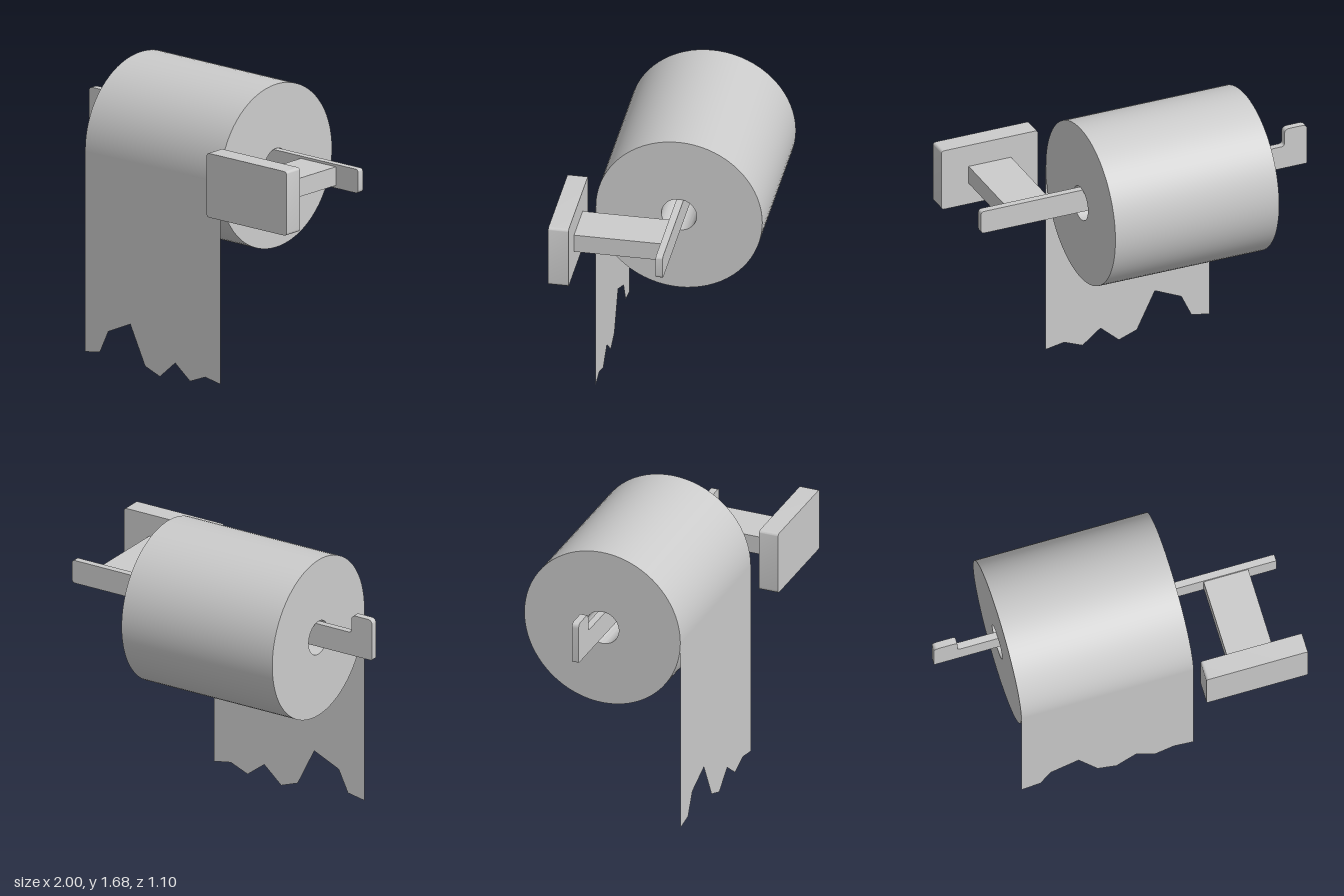
import * as THREE from 'three';
import { toCreasedNormals } from 'three/addons/utils/BufferGeometryUtils.js';

const material = new THREE.MeshStandardMaterial({ color: 0xcccccc });
const paper = new THREE.MeshStandardMaterial({ color: 0xcccccc, side: THREE.DoubleSide });

// Outline with every corner rounded by its radius: [x, y, radius]
function roundedShape(corners) {
  const shape = new THREE.Shape();
  const n = corners.length;
  const at = (i) => new THREE.Vector2(corners[(i + n) % n][0], corners[(i + n) % n][1]);
  corners.forEach(([x, y, r], i) => {
    const p = at(i);
    const a = at(i - 1).sub(p).setLength(r).add(p);
    const b = at(i + 1).sub(p).setLength(r).add(p);
    if (i === 0) shape.moveTo(a.x, a.y);
    else shape.lineTo(a.x, a.y);
    shape.quadraticCurveTo(x, y, b.x, b.y);
  });
  shape.closePath();
  return shape;
}

// Slab extruded from z0 to z1
function slab(name, corners, z0, z1) {
  const geometry = new THREE.ExtrudeGeometry(roundedShape(corners), {
    depth: z1 - z0, bevelEnabled: false, curveSegments: 6,
  });
  geometry.translate(0, 0, z0);
  const mesh = new THREE.Mesh(toCreasedNormals(geometry, 0.6), material);
  mesh.name = name;
  return mesh;
}

export function createModel() {
  const group = new THREE.Group();
  group.name = 'toiletRollHolder';

  const left = -0.627, right = 0.375;
  const rollY = 1.207, rollZ = -0.075, radius = 0.473, hole = 0.1;

  // Paper roll with an open core
  const profile = [[hole, left], [radius, left], [radius, right], [hole, right], [hole, left]]
    .map(([r, x]) => new THREE.Vector2(r, x));
  const rollGeometry = toCreasedNormals(new THREE.LatheGeometry(profile, 72), 0.6);
  rollGeometry.rotateZ(-Math.PI / 2);
  const roll = new THREE.Mesh(rollGeometry, material);
  roll.name = 'paperRoll';
  roll.position.set(0, rollY, rollZ);
  group.add(roll);

  // Hanging sheet with a torn lower edge
  const tornEdge = [
    [left, 0.04], [-0.517, 0.06], [-0.455, 0.19], [-0.293, 0.263], [-0.183, 0.04],
    [-0.073, 0], [0.04, 0.1], [0.15, 0.015], [0.262, 0.06], [right, 0.04],
  ];
  const outline = [...tornEdge, [right, rollY], [left, rollY]];
  const sheet = new THREE.Mesh(
    new THREE.ShapeGeometry(new THREE.Shape(outline.map(([x, y]) => new THREE.Vector2(x, y)))),
    paper,
  );
  sheet.name = 'hangingSheet';
  sheet.position.z = rollZ + radius;
  group.add(sheet);

  // Spindle bar with an upturned tip
  group.add(slab('spindleBar', [
    [-1, 1.165, 0.01], [0.995, 1.165, 0.02], [0.995, 1.303, 0.02],
    [-0.862, 1.303, 0.02], [-0.862, 1.41, 0.03], [-1, 1.41, 0.03],
  ], -0.1, -0.06));

  // Arm joining the bar to the mounting plate
  const arm = new THREE.Mesh(new THREE.BoxGeometry(0.26, 0.108, 0.495), material);
  arm.name = 'arm';
  arm.position.set(0.7, 1.235, 0.1875);
  group.add(arm);

  // Mounting plate
  group.add(slab('mountingPlate', [
    [0.405, 1.05, 0.02], [0.997, 1.05, 0.02], [0.997, 1.422, 0.02], [0.405, 1.422, 0.02],
  ], 0.435, 0.55));

  return group;
}
